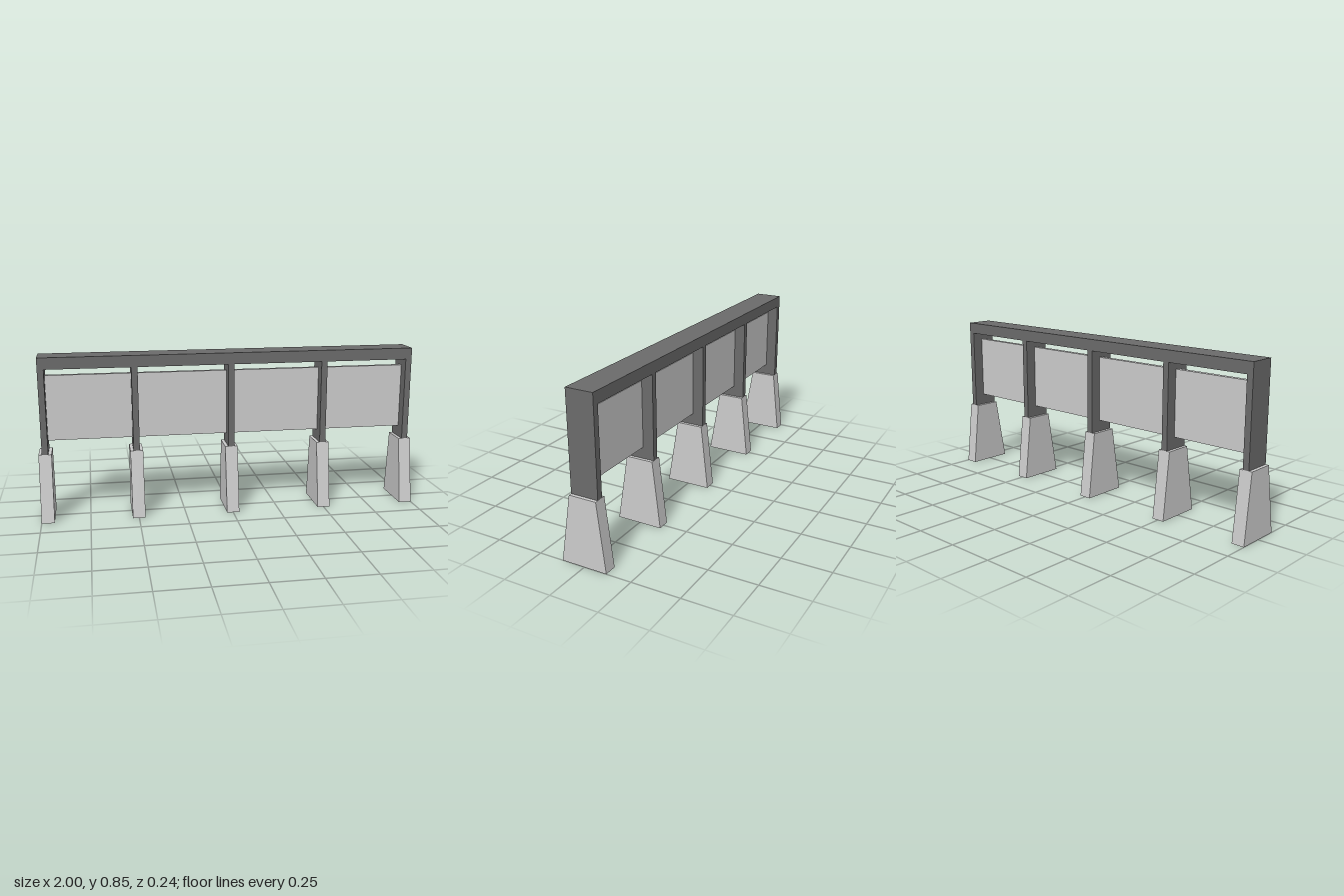
import * as THREE from 'three';

const FRONT = 0.063, BACK = -0.08;       // depth of the frame
const FOOT_TOP = 0.35, BEAM_BOTTOM = 0.79, TOP = 0.85;

const grey = new THREE.MeshStandardMaterial({ color: 0xcccccc });
const greyOpen = new THREE.MeshStandardMaterial({ color: 0xcccccc, side: THREE.DoubleSide });
const dark = new THREE.MeshStandardMaterial({ color: 0x6b6b6b });

// Box given by its limits on each axis
function block(name, [x0, x1], [y0, y1], [z0, z1], material) {
  const mesh = new THREE.Mesh(new THREE.BoxGeometry(x1 - x0, y1 - y0, z1 - z0), material);
  mesh.position.set((x0 + x1) / 2, (y0 + y1) / 2, (z0 + z1) / 2);
  mesh.name = name;
  return mesh;
}

// Footing: flares toward the ground in depth only, open underneath
function footingGeometry() {
  const geo = new THREE.BoxGeometry(0.066, FOOT_TOP, 1);
  geo.translate(0, FOOT_TOP / 2, 0);
  const pos = geo.attributes.position;
  for (let i = 0; i < pos.count; i++) {
    const atTop = pos.getY(i) > 0.1;
    const front = pos.getZ(i) > 0;
    pos.setZ(i, front ? (atTop ? FRONT : 0.121) : (atTop ? BACK : -0.12));
  }
  // Drop the two triangles of the bottom side (fourth of the six sides)
  const index = Array.from(geo.index.array);
  index.splice(18, 6);
  geo.setIndex(index);
  geo.clearGroups();
  geo.computeVertexNormals();
  return geo;
}

export function createModel() {
  const model = new THREE.Group();
  model.name = 'panelBarrier';

  // Posts standing on footings
  const footing = footingGeometry();
  for (const x of [-0.967, -0.5, 0, 0.5, 0.967]) {
    const support = new THREE.Group();
    support.name = 'support';
    const foot = new THREE.Mesh(footing, greyOpen);
    foot.name = 'footing';
    const post = block('post', [-0.016, 0.016], [FOOT_TOP, BEAM_BOTTOM], [BACK, FRONT], dark);
    support.add(foot, post);
    support.position.x = x;
    model.add(support);
  }

  // Beam across the post tops
  model.add(block('topBeam', [-0.983, 0.983], [BEAM_BOTTOM, TOP], [BACK, FRONT], dark));

  // Thin board running through the posts
  model.add(block('panel', [-0.955, 0.955], [0.41, 0.75], [-0.021, 0.004], grey));

  return model;
}
